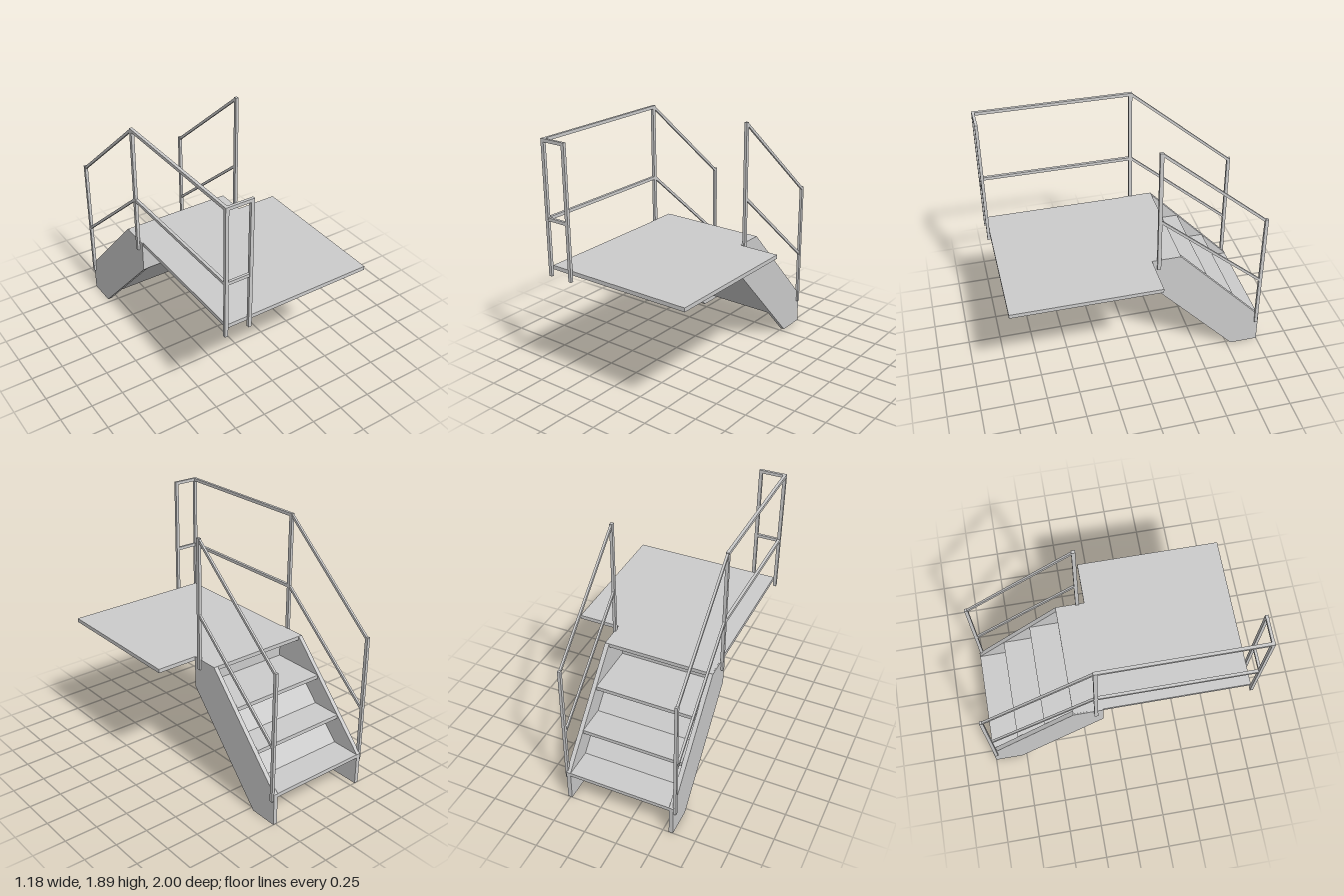
import * as THREE from 'three';

const material = new THREE.MeshStandardMaterial({ color: 0xcccccc, flatShading: true });

function add(parent, name, geometry) {
  const mesh = new THREE.Mesh(geometry, material);
  mesh.name = name;
  parent.add(mesh);
  return mesh;
}

// Box given by its limits on each axis
function box(parent, name, [x0, x1], [y0, y1], [z0, z1]) {
  const mesh = add(parent, name, new THREE.BoxGeometry(x1 - x0, y1 - y0, z1 - z0));
  mesh.position.set((x0 + x1) / 2, (y0 + y1) / 2, (z0 + z1) / 2);
  return mesh;
}

// Side profile of [z, y] points, extruded across x0..x1
function sideProfile(parent, name, points, x0, x1) {
  const shape = new THREE.Shape(points.map(([z, y]) => new THREE.Vector2(-z, y)));
  const geometry = new THREE.ExtrudeGeometry(shape, { depth: x1 - x0, bevelEnabled: false });
  geometry.rotateY(Math.PI / 2);
  geometry.translate(x0, 0, 0);
  return add(parent, name, geometry);
}

export function createModel() {
  const model = new THREE.Group();
  model.name = 'platformStairs';

  // L-shaped deck, with the narrow landing over the stairs
  const deckShape = new THREE.Shape([
    [-0.57, -0.98], [0.59, -0.98], [0.59, 0.115], [0.27, 0.115], [0.27, 0.335], [-0.57, 0.335],
  ].map(([x, y]) => new THREE.Vector2(x, y)));
  const deck = new THREE.ExtrudeGeometry(deckShape, { depth: 0.03, bevelEnabled: false });
  deck.rotateX(-Math.PI / 2);
  deck.translate(0, 0.94, 0);
  add(model, 'deck', deck);

  // Stringers on both sides of the stairs
  const stringer = [[-0.115, 0.969], [-0.335, 0.969], [-1, 0.25], [-1, 0], [-0.785, 0], [-0.115, 0.73]];
  sideProfile(model, 'rightStringer', stringer, -0.578, -0.545);
  sideProfile(model, 'leftStringer', stringer, 0.237, 0.27);

  // Treads with sloped risers, closed underneath and at the front
  sideProfile(model, 'stairFlight', [
    [-0.998, 0.22], [-0.998, 0.25], [-0.77, 0.25], [-0.575, 0.46], [-0.78, 0.46], [-0.78, 0.49],
    [-0.547, 0.49], [-0.352, 0.70], [-0.555, 0.70], [-0.555, 0.73], [-0.13, 0.73], [-0.13, 0.945],
    [-0.116, 0.945], [-0.116, 0.732], [-0.585, 0.22],
  ], -0.546, 0.238);

  // Stair railings: two posts and two sloped rails per side
  for (const [side, x0, x1] of [['right', -0.595, -0.572], ['left', 0.26, 0.282]]) {
    const railing = new THREE.Group();
    railing.name = side + 'StairRailing';
    model.add(railing);
    box(railing, 'upperPost', [x0, x1], [0.89, 1.888], [-0.182, -0.155]);
    box(railing, 'lowerPost', [x0, x1], [0.19, 1.195], [-0.992, -0.967]);
    for (const [name, top, bottom] of [['handrail', 1.888, 1.195], ['midRail', 1.33, 0.632]]) {
      sideProfile(railing, name, [
        [-0.175, top], [-0.975, bottom], [-0.975, bottom - 0.026], [-0.175, top - 0.026],
      ], x0 + 0.003, x1 - 0.003);
    }
  }

  // Deck railing along the right edge, returning a short way across the front
  const deckRailing = new THREE.Group();
  deckRailing.name = 'deckRailing';
  model.add(deckRailing);
  box(deckRailing, 'cornerPost', [-0.595, -0.57], [0.89, 1.888], [0.978, 1]);
  box(deckRailing, 'endPost', [-0.41, -0.385], [0.89, 1.888], [0.978, 1]);
  for (const [name, y0, y1] of [['topRail', 1.864, 1.888], ['midRail', 1.306, 1.33]]) {
    box(deckRailing, name, [-0.594, -0.572], [y0, y1], [-0.16, 0.98]);
    box(deckRailing, 'front' + name, [-0.575, -0.4], [y0, y1], [0.979, 0.999]);
  }

  return model;
}
